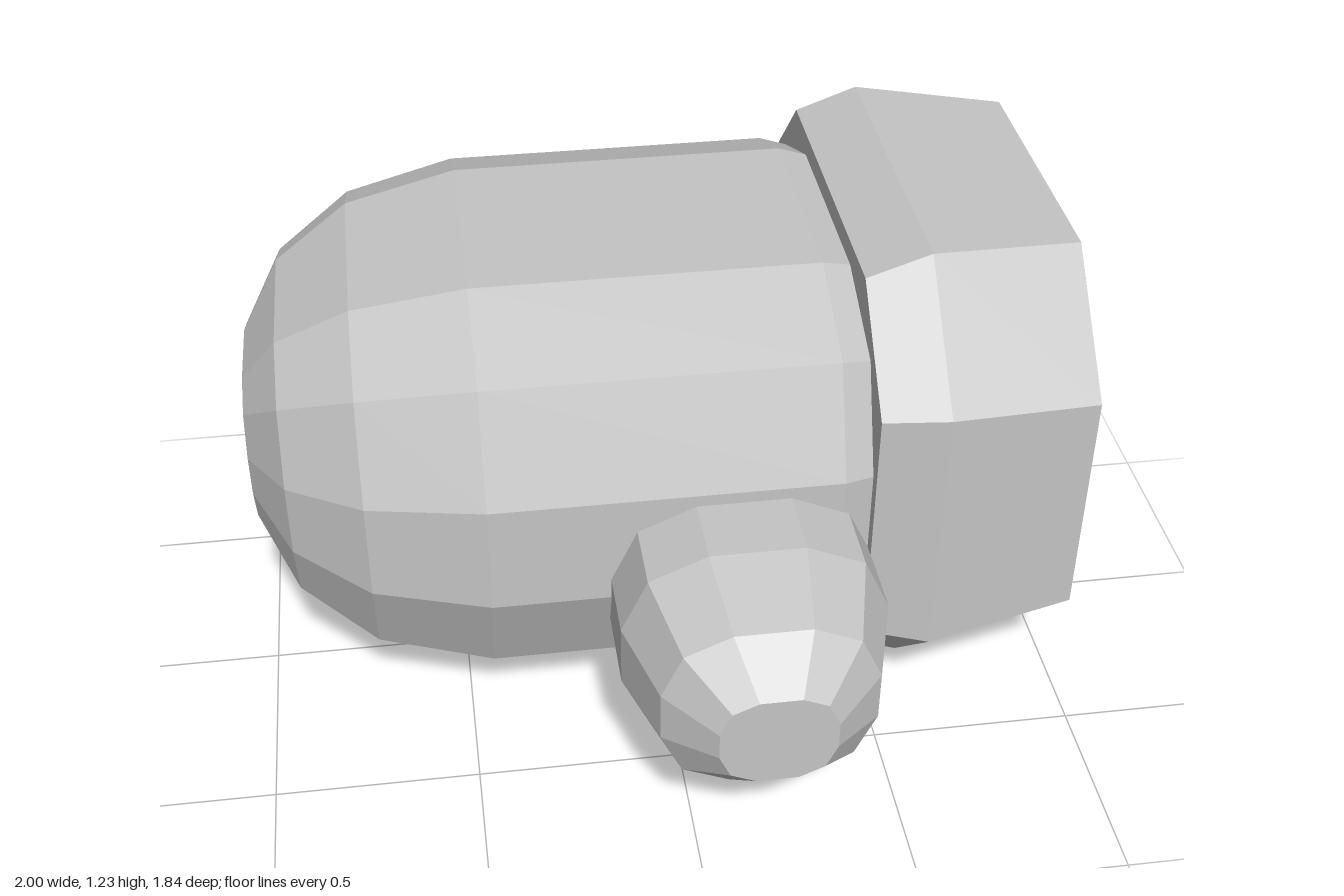
import * as THREE from 'three';

// Mirror one quadrant of [u, v] corners (from +u towards +v) into a full counterclockwise ring
function mirrorRing(quadrant) {
  const back = [...quadrant].reverse();
  return [
    ...quadrant,
    ...back.map(([u, v]) => [-u, v]),
    ...quadrant.map(([u, v]) => [-u, -v]),
    ...back.map(([u, v]) => [u, -v]),
  ];
}

// Skin sections { at, ring } with flat faces and close both ends
function loft(sections, place) {
  const pos = [];
  const rings = sections.map(({ at, ring }) => ring.map(([u, v]) => place(u, v, at)));
  const tri = (a, b, c) => pos.push(...a, ...b, ...c);
  const n = rings[0].length;
  for (let i = 0; i < rings.length - 1; i++) {
    for (let j = 0; j < n; j++) {
      const k = (j + 1) % n;
      tri(rings[i][j], rings[i][k], rings[i + 1][k]);
      tri(rings[i][j], rings[i + 1][k], rings[i + 1][j]);
    }
  }
  const first = rings[0];
  const last = rings[rings.length - 1];
  for (let j = 1; j < n - 1; j++) {
    tri(first[0], first[j + 1], first[j]);
    tri(last[0], last[j], last[j + 1]);
  }
  const geometry = new THREE.BufferGeometry();
  geometry.setAttribute('position', new THREE.Float32BufferAttribute(pos, 3));
  geometry.computeVertexNormals();
  return geometry;
}

// Sections from one ring scaled along a profile of [position, scale]
function scaledSections(quadrant, profile) {
  const ring = mirrorRing(quadrant);
  return profile.map(([at, s]) => ({ at, ring: ring.map(([u, v]) => [u * s, v * s]) }));
}

const alongX = (u, v, w) => [w, u, v]; // u = y, v = z
const alongZ = (u, v, w) => [u, v, w]; // u = x, v = y

export function createModel() {
  const model = new THREE.Group();
  const grey = new THREE.MeshStandardMaterial({ color: 0xc4c4c4 });
  grey.name = 'grey';
  grey.flatShading = true;

  const add = (name, geometry, x, y, z) => {
    const mesh = new THREE.Mesh(geometry, grey);
    mesh.name = name;
    mesh.position.set(x, y, z);
    model.add(mesh);
  };

  // Rounded twelve-sided body, tapering to a small flat end
  add('body', loft(scaledSections(
    [[0.52, 0.28], [0.41, 0.54], [0.143, 0.65]],
    [[-1, 0.38], [-0.905, 0.67], [-0.72, 0.89], [-0.44, 1], [0.4, 1], [0.6, 0.9]],
  ), alongX), 0, 0.617, -0.23);

  // Octagonal collar: [x, half height, half depth, chamfer]
  const collar = [[0.47, 0.56, 0.655, 0.24], [0.625, 0.615, 0.695, 0.277], [1, 0.577, 0.63, 0.275]]
    .map(([at, h, d, c]) => ({ at, ring: mirrorRing([[h, d - c], [h - c, d]]) }));
  add('collar', loft(collar, alongX), 0, 0.615, -0.225);

  // Twelve-sided knob on the front
  add('knob', loft(scaledSections(
    [[0.315, 0.08], [0.252, 0.218], [0.113, 0.28]],
    [[0.1, 1], [0.6, 1], [0.81, 0.8], [0.92, 0.43]],
  ), alongZ), 0.16, 0.45, 0);

  return model;
}
